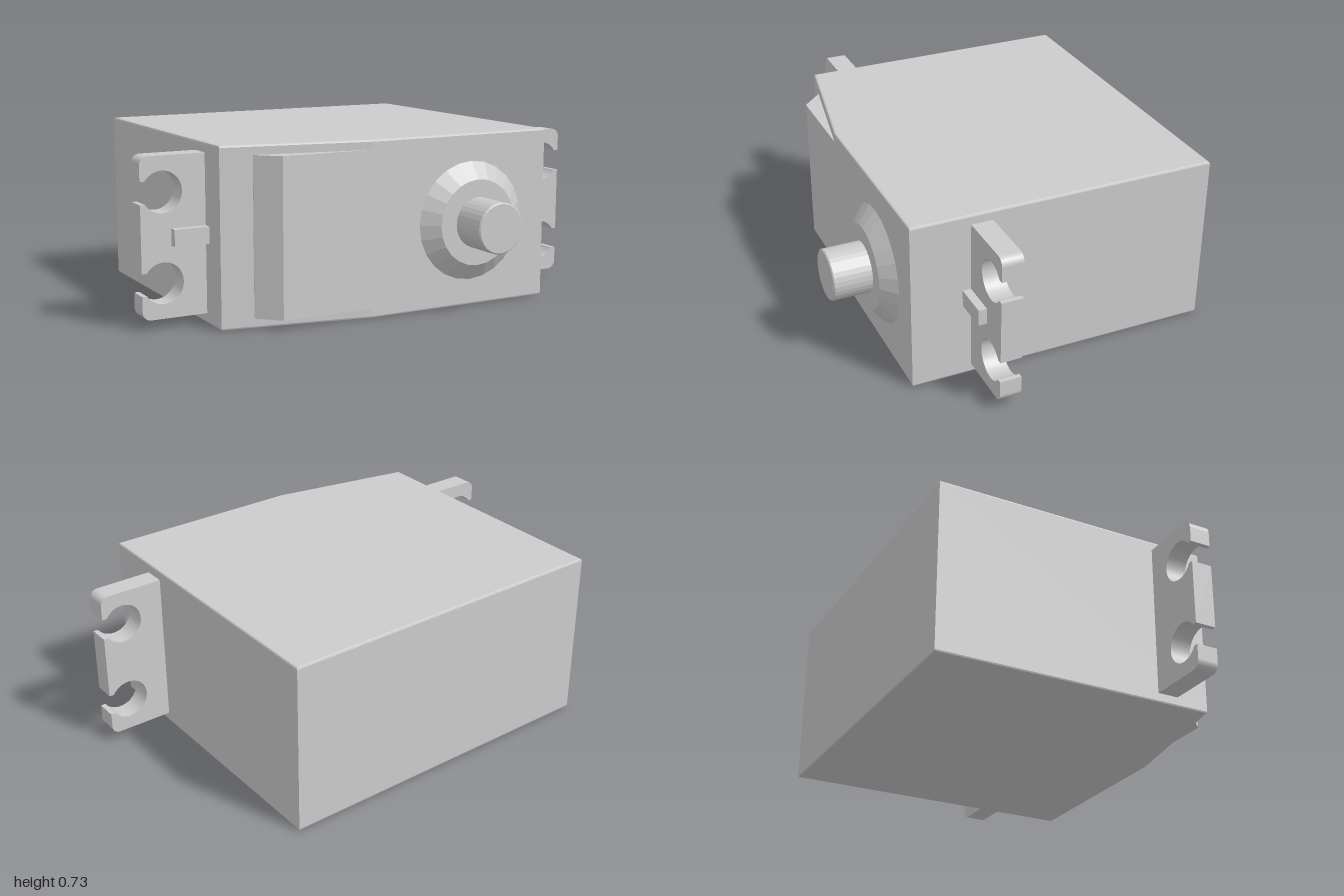
import * as THREE from 'three';

const MID = 0.3625; // height of the horizontal symmetry plane
const grey = new THREE.MeshStandardMaterial({ color: 0xcccccc });
const greyFlat = new THREE.MeshStandardMaterial({ color: 0xcccccc, flatShading: true });

function add(parent, name, geometry, material = greyFlat) {
  const mesh = new THREE.Mesh(geometry, material);
  mesh.name = name;
  parent.add(mesh);
  return mesh;
}

// Extrudes a plan outline of [x, z] points upwards from y0 to y1.
function planPrism(points, y0, y1, bevel = 0) {
  const shape = new THREE.Shape(points.map(([x, z]) => new THREE.Vector2(x, -z)));
  const geometry = new THREE.ExtrudeGeometry(shape, {
    depth: y1 - y0 - 2 * bevel, bevelEnabled: bevel > 0,
    bevelSize: bevel, bevelOffset: -bevel, bevelThickness: bevel, bevelSegments: 2,
  });
  return geometry.rotateX(-Math.PI / 2).translate(0, y0 + bevel, 0);
}

// Mounting ear outline, centred on y = 0, with two holes open to the outer edge.
function earShape() {
  const inner = 0.72, outer = 1, h = 0.322, c = 0.035;
  const holeX = 0.91, holeY = 0.18, r = 0.083, slot = 0.045;
  const a = Math.asin(slot / r);
  const s = new THREE.Shape();
  s.moveTo(inner, -h);
  s.lineTo(outer - c, -h);
  s.absarc(outer - c, -h + c, c, -Math.PI / 2, 0, false);
  for (const y of [-holeY, holeY]) {
    s.lineTo(outer, y - slot);
    s.absarc(holeX, y, r, -a, a - 2 * Math.PI, true);
    s.lineTo(outer, y + slot);
  }
  s.lineTo(outer, h - c);
  s.absarc(outer - c, h - c, c, 0, Math.PI / 2, false);
  s.lineTo(inner, h);
  s.closePath();
  return s;
}

export function createModel() {
  const model = new THREE.Group();
  model.name = 'servoMotor';

  // Case with one slanted front corner
  add(model, 'case', planPrism(
    [[-0.73, -0.76], [-0.73, 0.43], [-0.12, 0.54], [0.727, 0.54], [0.727, -0.76]], 0, 0.725, 0.008));

  // Raised pad filling out the slanted corner
  add(model, 'frontPad', planPrism(
    [[-0.6, 0.4], [-0.6, 0.455], [-0.515, 0.54], [-0.12, 0.54], [-0.12, 0.4]], 0.04, 0.685));

  // Ears with stiffening ribs, the right one turned half round
  for (const side of ['left', 'right']) {
    const mount = new THREE.Group();
    mount.name = side + 'Mount';
    mount.position.y = MID;
    if (side === 'right') mount.rotation.z = Math.PI;
    add(mount, 'ear', new THREE.ExtrudeGeometry(earShape(),
      { depth: 0.09, bevelEnabled: false, curveSegments: 24 }).translate(0, 0, 0.2), grey);
    add(mount, 'rib', new THREE.BoxGeometry(0.155, 0.068, 0.045).translate(0.7975, 0, 0.3025));
    model.add(mount);
  }

  // Output collar and shaft, turned to point forward
  const output = new THREE.Group();
  output.name = 'output';
  output.position.set(0.355, 0.36, 0.54);
  output.rotation.x = Math.PI / 2;
  add(output, 'collar', new THREE.CylinderGeometry(0.18, 0.25, 0.055, 24).translate(0, 0.0275, 0));
  const profile = [[0.106, 0.04], [0.106, 0.212], [0.101, 0.217], [0, 0.217]];
  add(output, 'shaft', new THREE.LatheGeometry(
    profile.map(([r, y]) => new THREE.Vector2(r, y)), 32));
  model.add(output);

  return model;
}
